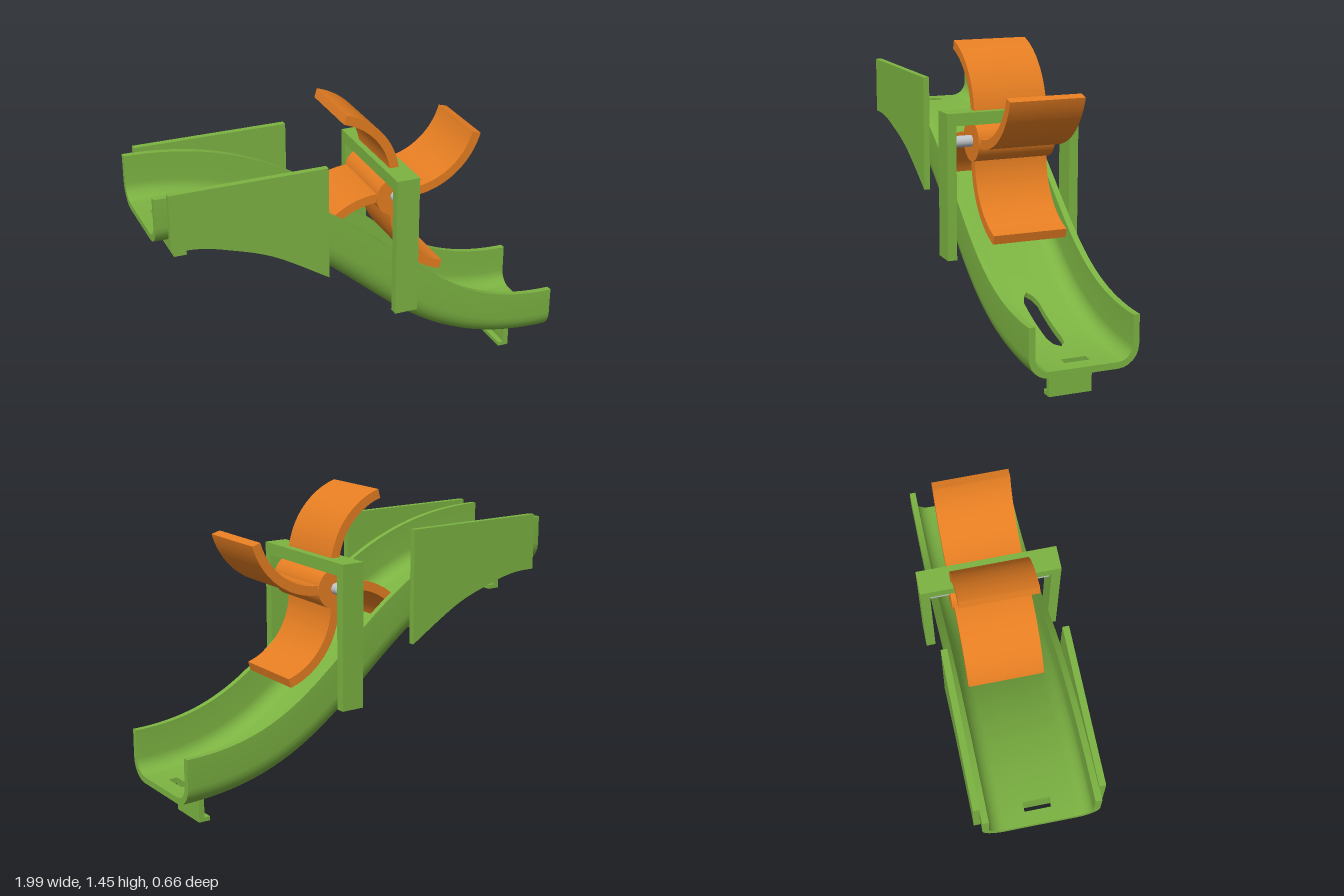
import * as THREE from 'three';
import { toCreasedNormals } from 'three/addons/utils/BufferGeometryUtils.js';

const mat = (name, color) => {
  const m = new THREE.MeshStandardMaterial({ color });
  m.name = name;
  return m;
};

// Underside of the slide, a smooth S from high left to low right
const path = new THREE.CubicBezierCurve(
  new THREE.Vector2(-0.997, 1.01), new THREE.Vector2(0, 1.01),
  new THREE.Vector2(0, 0.14), new THREE.Vector2(0.997, 0.14));

function paramAtX(x) {
  let lo = 0, hi = 1;
  for (let n = 0; n < 40; n++) {
    const mid = (lo + hi) / 2;
    if (path.getPoint(mid).x < x) lo = mid; else hi = mid;
  }
  return (lo + hi) / 2;
}

// Half width of the long pointed drain hole in the floor
const drain = [[0.36, 0], [0.385, 0.022], [0.42, 0.036], [0.68, 0.036], [0.73, 0.026], [0.755, 0]];
function drainHalf(x) {
  for (let n = 1; n < drain.length; n++) {
    const [x0, h0] = drain[n - 1], [x1, h1] = drain[n];
    if (x >= x0 && x <= x1) return h0 + (h1 - h0) * (x - x0) / (x1 - x0);
  }
  return 0.036;
}

// U-shaped trough swept along the path as a grid of cells, leaving holes open
function troughGeometry() {
  const slots = [[-0.935, -0.892], [0.88, 0.922]];
  const xs = [...slots.flat(), ...drain.map((p) => p[0])];
  for (let n = 0; n <= 50; n++) {
    const x = -0.997 + 1.994 * n / 50;
    if (xs.every((v) => Math.abs(v - x) > 0.008)) xs.push(x);
  }
  xs.sort((a, b) => a - b);

  // Cross-section from rim to floor as [outer z, outer y, inner z, inner y]
  const half = [[0.26, 0.235, 0.23, 0.235]];
  const arc = 6;
  for (let n = 0; n <= arc; n++) {
    const a = n / arc * Math.PI / 2, c = Math.cos(a), s = Math.sin(a);
    half.push([0.16 + 0.1 * c, 0.1 - 0.1 * s, 0.16 + 0.07 * c, 0.1 - 0.07 * s]);
  }
  const rows = xs.map((x) => {
    const t = paramAtX(x), p = path.getPoint(t), d = path.getTangent(t), h = drainHalf(x);
    const side = [...half, [0.06, 0, 0.06, 0.03], [h, 0, h, 0.03]];
    const full = [...side.map(([a, b, c, e]) => [-a, b, -c, e]), ...side.slice().reverse()];
    return full.map(([oz, oy, iz, iy]) => [[oy, oz], [iy, iz]].map(([y, z]) =>
      [p.x - d.y * y, p.y + d.x * y, z]));
  });

  const cols = rows[0].length - 1, mid = (cols - 1) / 2;
  const solid = (i, j) => {
    if (i < 0 || j < 0 || i >= rows.length - 1 || j >= cols) return false;
    const x = (xs[i] + xs[i + 1]) / 2;
    if (Math.abs(j - mid) <= 1 && slots.some(([a, b]) => x > a && x < b)) return false;
    return !(j === mid && x > drain[0][0] && x < drain[drain.length - 1][0]);
  };
  const pos = [];
  const quad = (a, b, c, d) => pos.push(...a, ...b, ...c, ...a, ...c, ...d);
  for (let i = 0; i < rows.length - 1; i++) for (let j = 0; j < cols; j++) {
    if (!solid(i, j)) continue;
    const P = (di, dj, k) => rows[i + di][j + dj][k];
    quad(P(0, 0, 1), P(0, 1, 1), P(1, 1, 1), P(1, 0, 1));
    quad(P(0, 0, 0), P(1, 0, 0), P(1, 1, 0), P(0, 1, 0));
    if (!solid(i + 1, j)) quad(P(1, 0, 0), P(1, 0, 1), P(1, 1, 1), P(1, 1, 0));
    if (!solid(i - 1, j)) quad(P(0, 0, 0), P(0, 1, 0), P(0, 1, 1), P(0, 0, 1));
    if (!solid(i, j + 1)) quad(P(0, 1, 0), P(1, 1, 0), P(1, 1, 1), P(0, 1, 1));
    if (!solid(i, j - 1)) quad(P(0, 0, 0), P(0, 0, 1), P(1, 0, 1), P(1, 0, 0));
  }
  const g = new THREE.BufferGeometry();
  g.setAttribute('position', new THREE.Float32BufferAttribute(pos, 3));
  return toCreasedNormals(g, 0.6);
}

// Extrusion centred on z = 0
function slab(shape, depth, curveSegments = 20) {
  const g = new THREE.ExtrudeGeometry(shape, { depth, bevelEnabled: false, curveSegments });
  return toCreasedNormals(g.translate(0, 0, -depth / 2), 0.6);
}

export function createModel() {
  const model = new THREE.Group();
  const green = mat('leaf green', 0x7cb342);
  const orange = mat('orange', 0xe67e22);
  const silver = mat('silver', 0xbdc3c7);
  const add = (parent, name, geometry, material, x = 0, y = 0, z = 0) => {
    const m = new THREE.Mesh(geometry, material);
    m.name = name;
    m.position.set(x, y, z);
    parent.add(m);
    return m;
  };
  // Box given by its x and y limits and its depth
  const box = (name, x0, x1, y0, y1, depth, z = 0) => add(model, name,
    new THREE.BoxGeometry(x1 - x0, y1 - y0, depth), green, (x0 + x1) / 2, (y0 + y1) / 2, z);

  add(model, 'trough', troughGeometry(), green);

  // Side walls with lower edges that follow the slide
  const wall = new THREE.Shape();
  wall.moveTo(-0.205, 1.265);
  wall.lineTo(-0.94, 1.265);
  wall.lineTo(-0.94, 0.993);
  wall.splineThru([[-0.82, 0.988], [-0.69, 0.957], [-0.47, 0.877], [-0.205, 0.716]]
    .map(([x, y]) => new THREE.Vector2(x, y)));
  const wallGeometry = slab(wall, 0.03);
  for (const s of [1, -1]) {
    add(model, s > 0 ? 'frontSideWall' : 'backSideWall', wallGeometry, green, 0, 0, s * 0.273);
    box(s > 0 ? 'frontPost' : 'backPost', 0.112, 0.225, 0.472, 1.158, 0.045, s * 0.3055);
  }
  box('crossbar', 0.112, 0.225, 1.1, 1.158, 0.57);

  // Hooks below each end
  box('upperHookStem', -0.88, -0.855, 0.87, 1.012, 0.205);
  box('upperHookFoot', -0.856, -0.82, 0.87, 0.89, 0.205);
  box('lowerHookStem', 0.833, 0.86, 0, 0.16, 0.205);
  box('lowerHookFoot', 0.805, 0.834, 0, 0.02, 0.205);

  // Paddle wheel
  const wheel = new THREE.Group();
  wheel.name = 'paddleWheel';
  wheel.position.set(0.168, 1.017, 0);
  model.add(wheel);
  const rod = (r, length) => new THREE.CylinderGeometry(r, r, length, 40).rotateX(Math.PI / 2);
  add(wheel, 'hub', rod(0.096, 0.38), orange);
  add(wheel, 'axle', rod(0.027, 0.65), silver);

  const R = 0.343, start = -Math.PI / 2, end = start + 1.29;
  const blade = new THREE.Shape();
  blade.absarc(0.085, R, R + 0.022, start, end, false);
  blade.absarc(0.085, R, R - 0.022, end, start, true);
  blade.closePath();
  const bladeGeometry = slab(blade, 0.36, 24);
  for (let n = 0; n < 4; n++) {
    add(wheel, 'paddle', bladeGeometry, orange).rotation.z = n * Math.PI / 2;
  }
  return model;
}
